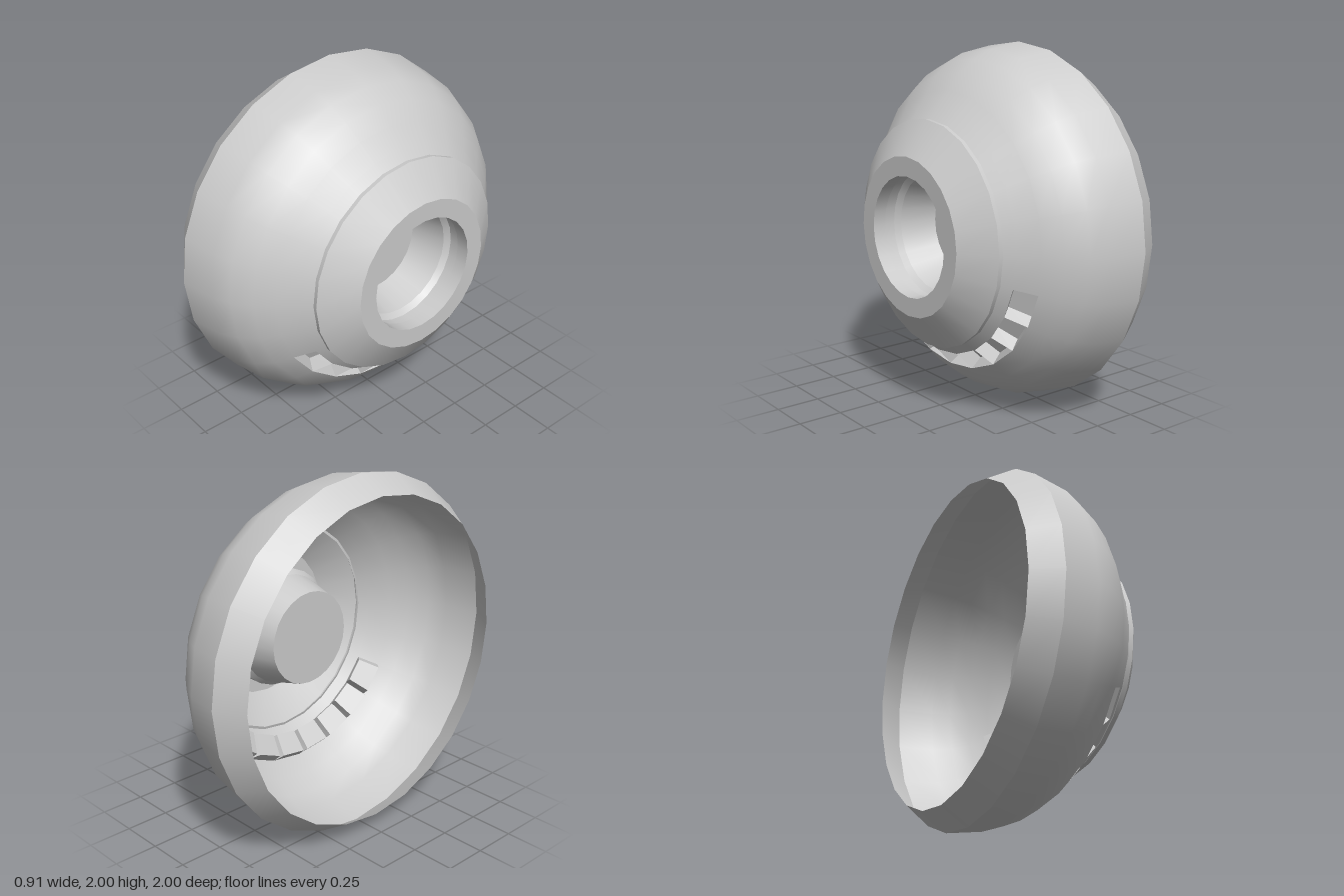
import * as THREE from 'three';

const SIDES = 24;
const STEP = (Math.PI * 2) / SIDES;
const material = new THREE.MeshStandardMaterial({ color: 0xcccccc, side: THREE.DoubleSide });

// Turned surface about the x axis; the profile holds [x, radius] pairs.
function turned(name, profile, start = 0, sides = SIDES) {
  const points = profile.map(([x, r]) => new THREE.Vector2(r, x));
  const geometry = new THREE.LatheGeometry(points, sides, start * STEP, sides * STEP);
  geometry.rotateZ(-Math.PI / 2);
  const mesh = new THREE.Mesh(geometry, material);
  mesh.name = name;
  return mesh;
}

// Sharp-edged turned part: every profile segment is its own smooth band.
function creased(name, profile) {
  const group = new THREE.Group();
  group.name = name;
  for (let i = 0; i < profile.length - 1; i++) {
    group.add(turned(name + 'Band' + (i + 1), [profile[i], profile[i + 1]]));
  }
  return group;
}

// Point on the shell at a given angle (0 faces +z, a quarter turn points down).
const at = (x, r, a) => [x, -r * Math.sin(a), r * Math.cos(a)];

// One recessed cell: four tapering walls and a floor.
function ventCell(index, [x0, r0], [x1, r1]) {
  const a = index * STEP, b = a + STEP, inset = 0.022;
  const dx = 0.056, dr = 0.05;
  const outer = [at(x0, r0, a), at(x1, r1, a), at(x1, r1, b), at(x0, r0, b)];
  const inner = [
    at(x0 - dx, r0 - dr, a + inset), at(x1 - dx, r1 - dr, a + inset),
    at(x1 - dx, r1 - dr, b - inset), at(x0 - dx, r0 - dr, b - inset),
  ];
  const corners = [];
  const quad = (p, q, s, t) => corners.push(...p, ...q, ...s, ...p, ...s, ...t);
  quad(...inner);
  for (let i = 0; i < 4; i++) {
    const j = (i + 1) % 4;
    quad(outer[i], outer[j], inner[j], inner[i]);
  }
  const geometry = new THREE.BufferGeometry();
  geometry.setAttribute('position', new THREE.Float32BufferAttribute(corners, 3));
  geometry.computeVertexNormals();
  const mesh = new THREE.Mesh(geometry, material);
  mesh.name = 'ventCell';
  return mesh;
}

export function createModel() {
  const model = new THREE.Group();
  model.name = 'domedHousing';

  // Bevelled open rim and rounded shell
  const ventOuter = [0.175, 0.765], ventInner = [0.26, 0.667];
  model.add(turned('rim', [[-0.455, 0.905], [-0.305, 1]]));
  model.add(turned('shell', [
    [-0.305, 1], [-0.1, 0.965], [0, 0.92], [0.1, 0.85], ventOuter,
  ]));
  model.add(turned('shellNeck', [ventInner, [0.305, 0.615]]));

  // Row of recessed cells, with plain shell around the rest of the band
  const firstCell = 2, cellCount = 9;
  model.add(turned('shellBand', [ventOuter, ventInner], firstCell + cellCount, SIDES - cellCount));
  const vents = new THREE.Group();
  vents.name = 'vents';
  for (let i = 0; i < cellCount; i++) vents.add(ventCell(firstCell + i, ventOuter, ventInner));
  model.add(vents);

  // Raised conical collar
  model.add(creased('collar', [[0.3, 0.6], [0.305, 0.62], [0.33, 0.622], [0.455, 0.435], [0.455, 0.33]]));

  // Grooved bore closed by a flat end disc
  model.add(creased('bore', [
    [0.455, 0.33], [0.38, 0.33], [0.38, 0.345], [0.31, 0.345], [0.28, 0.32], [0.08, 0.27],
  ]));
  model.add(turned('boreEnd', [[0.08, 0.27], [0.08, 0]]));

  model.position.y = 1;
  const root = new THREE.Group();
  root.name = 'model';
  root.add(model);
  return root;
}
